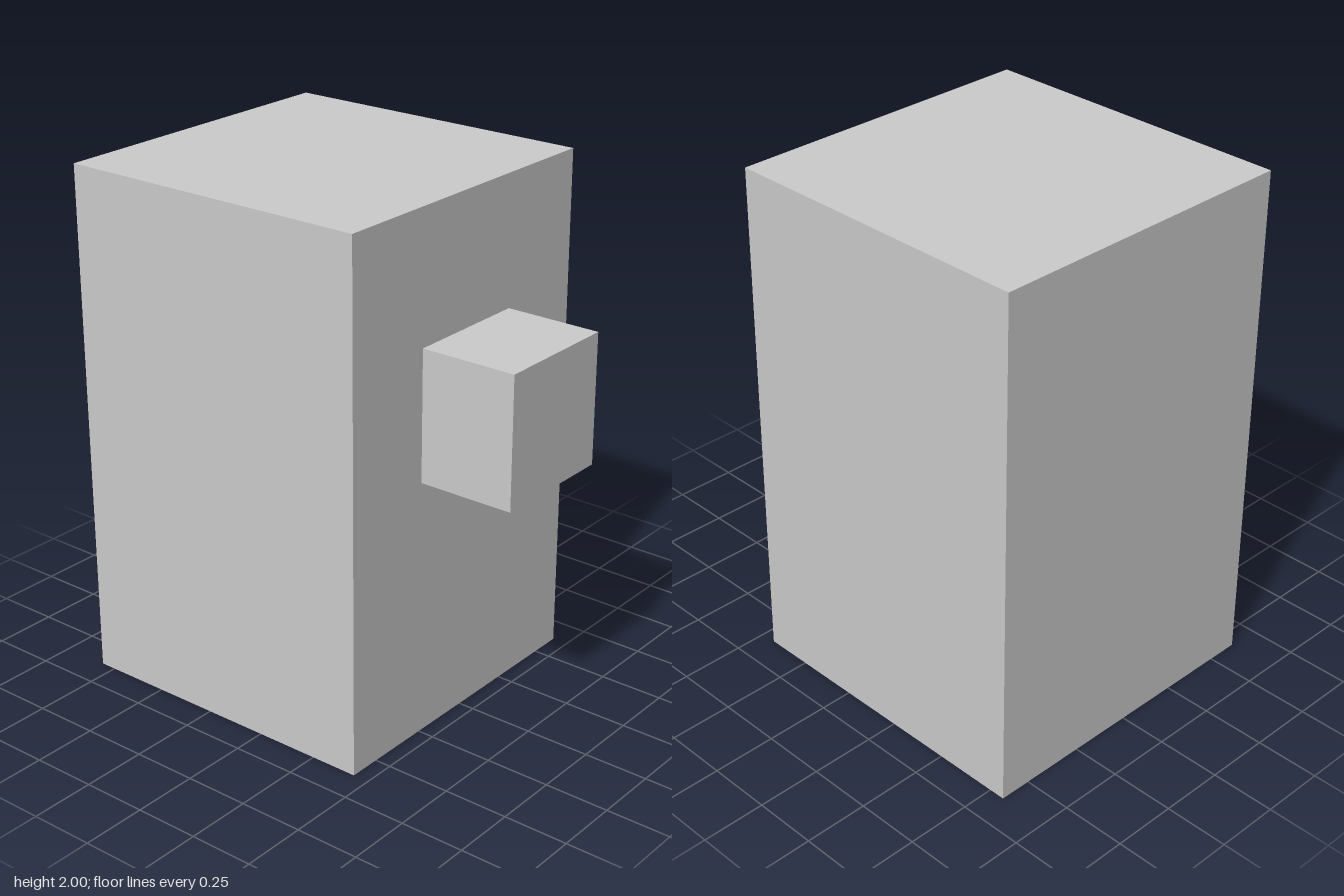
import * as THREE from 'three';

const material = new THREE.MeshStandardMaterial({ color: 0xcccccc, flatShading: true });

// Box given by its size and the position of its bottom centre
function box(name, [w, h, d], [x, y, z]) {
  const mesh = new THREE.Mesh(new THREE.BoxGeometry(w, h, d), material);
  mesh.name = name;
  mesh.position.set(x, y + h / 2, z);
  return mesh;
}

export function createModel() {
  const model = new THREE.Group();
  model.name = 'blockHead';

  // Tall square block, set back to leave room for the front block
  model.add(box('body', [1.25, 2, 1.25], [0, 0, -0.1875]));

  // Small block standing out from the front face
  model.add(box('frontBlock', [0.5, 0.5, 0.375], [0, 1, 0.625]));

  return model;
}
